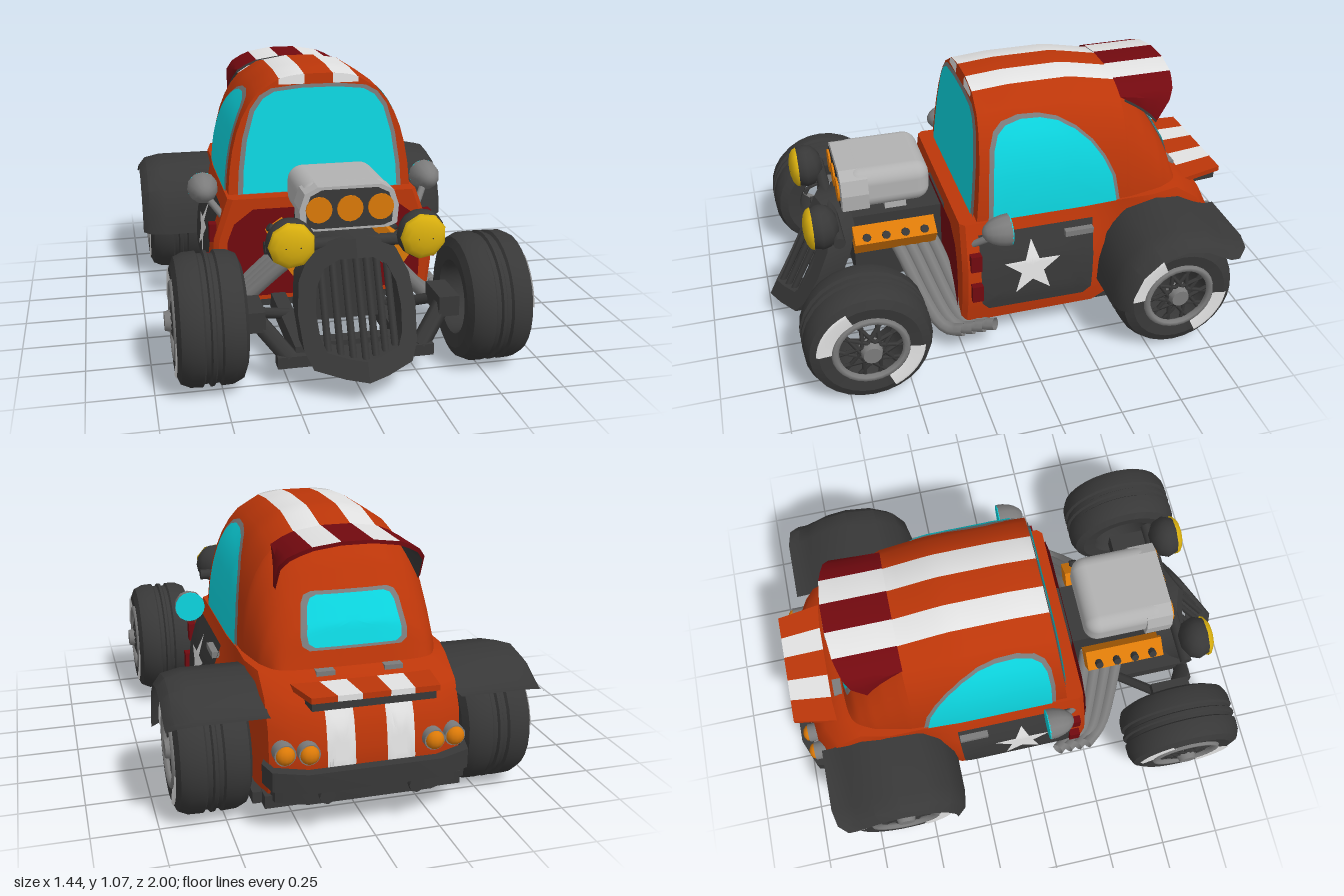
import * as THREE from 'three';
import { toCreasedNormals } from 'three/addons/utils/BufferGeometryUtils.js';
import { RoundedBoxGeometry } from 'three/addons/geometries/RoundedBoxGeometry.js';

const paint = (name, color) => new THREE.MeshStandardMaterial({ name, color, side: THREE.DoubleSide });
const orange = paint('orange', 0xbc3609), red = paint('dark red', 0x72090f), black = paint('black', 0x383838),
  white = paint('white', 0xe2e2e2), silver = paint('silver', 0xb2b2b2), grey = paint('grey', 0x7c7c7c),
  cyan = paint('cyan glass', 0x0cd6e0), amber = paint('amber', 0xdc7a08), yellow = paint('yellow', 0xdab00e);
const V = (x, y, z) => new THREE.Vector3(x, y, z);

// linear lookup in a table of [key, value], keys ascending
function look(table, k) {
  let i = 1;
  while (i < table.length - 1 && k > table[i][0]) i++;
  const [a, p] = table[i - 1], [b, q] = table[i];
  return p + (q - p) * Math.min(1, Math.max(0, (k - a) / (b - a)));
}

// skin over rows of points; pick(column) chooses a material index
function skin(rows, pick = () => 0) {
  const n = rows[0].length, idx = [], geo = new THREE.BufferGeometry();
  for (let j = 0; j < n - 1; j++) {
    geo.addGroup(idx.length, (rows.length - 1) * 6, pick(j));
    for (let i = 0; i < rows.length - 1; i++) {
      const a = i * n + j, b = a + n;
      idx.push(a, b, a + 1, a + 1, b, b + 1);
    }
  }
  geo.setAttribute('position', new THREE.Float32BufferAttribute(rows.flat(2), 3));
  geo.setIndex(idx);
  return toCreasedNormals(geo, 0.7);
}

// thin panel: a flat outline filled by rings and laid on a surface by project(u, v)
function patch(outline, project, size = 1) {
  const us = outline.map(p => p[0]), vs = outline.map(p => p[1]);
  const cu = (Math.min(...us) + Math.max(...us)) / 2, cv = (Math.min(...vs) + Math.max(...vs)) / 2;
  const fine = [];
  outline.forEach(([u, v], i) => {
    const [p, q] = outline[(i + 1) % outline.length];
    for (let k = 0; k < 4; k++) fine.push([u + (p - u) * k / 4, v + (q - v) * k / 4]);
  });
  fine.push(fine[0]);
  return skin([0, 0.2, 0.4, 0.6, 0.8, 1].map(f => fine.map(([u, v]) => project(cu + (u - cu) * f * size, cv + (v - cv) * f * size))));
}
const mirrored = half => [...half, ...half.slice().reverse().map(([x, ...r]) => [-x, ...r])];
const rect = (u0, u1, v0, v1) => [[u0, v0], [u1, v0], [u1, v1], [u0, v1]];
const range = (a, b, n) => Array.from({ length: n + 1 }, (_, i) => a + (b - a) * i / n);

// cabin form: roof height and half width along z
const FRONT = 0.165;
const TOP = [[-0.76, 0.55], [-0.71, 0.72], [-0.65, 0.82], [-0.58, 0.92], [-0.48, 1.03], [-0.28, 1.07], [0, 1.07], [FRONT, 1.057]];
const WIDE = [[-0.76, 0.30], [-0.65, 0.35], [-0.5, 0.38], [-0.3, 0.39], [FRONT, 0.39]];
const cabinX = (y, z) => look(WIDE, z) * Math.pow(Math.max(0, 1 - Math.pow((y - 0.5) / (look(TOP, z) - 0.5), 2.2)), 0.32);
const cabinY = (x, z) => 0.5 + (look(TOP, z) - 0.5) * Math.pow(Math.max(0, 1 - Math.pow(Math.abs(x) / look(WIDE, z), 3.125)), 1 / 2.2);
const screenZ = y => FRONT - 0.09 * (y - 0.57);
function rearZ(x, y) {
  let lo = -0.76, hi = -0.4;
  for (let i = 0; i < 24; i++) { const m = (lo + hi) / 2; if (cabinY(x, m) > y) hi = m; else lo = m; }
  return lo;
}
function cabinRow(z) {
  const half = [0, 0.15, 0.3, 0.45, 0.58, 0.69, 0.79, 0.87].map(t => 0.5 + (look(TOP, z) - 0.5) * t).map(y => [cabinX(y, z), y]);
  for (const x of [0.165, 0.06]) half.push([x, cabinY(x, z)]);
  const lean = Math.max(0, (z + 0.3) / (FRONT + 0.3));
  return mirrored(half).map(([x, y]) => [x, y, z + (screenZ(y) - FRONT) * lean]);
}
// lower body: half widths and rear edge by height
const SIDE = [[0.13, 0.46], [0.25, 0.475], [0.4, 0.46], [0.5, 0.425], [0.57, 0.40]];
const TAIL = [[0.13, -0.90], [0.25, -0.94], [0.4, -0.92], [0.5, -0.87], [0.57, -0.77]];
function tubRow(y) {
  const k = look(SIDE, y), b = look(TAIL, y), f = 0.25 - (y - 0.13) * 0.03, r = 0.39;
  const row = mirrored([[0, f], [k - 0.02, f], [k, f - 0.02], [k, -0.32], [r, -0.46], [r, b + 0.17], [r - 0.025, b + 0.055], [0.28, b + 0.01], [0.18, b], [0, b]]);
  return row.map(([x, z]) => [x, y, z]);
}
// roof spoiler: follows the roof arch, with sides drawn down towards a raked rear edge
function spoilerRow(f, drop) {
  const half = [[0.255 + 0.03 * f, 0.97 - 0.115 * f], [0.255 + 0.023 * f, 0.971 - 0.03 * f], [0.245 + 0.005 * f, 0.976], [0.21, 0.997], [0.165, 1.015], [0.06, 1.031]];
  return mirrored(half).map(([x, y]) => [x, y + 0.004 - drop, -0.475 + (0.475 - 0.738 + (1.03 - y) * 0.6) * f]);
}

export function createModel() {
  const car = new THREE.Group();
  car.name = 'hotRod';
  const add = (name, geo, mat, x = 0, y = 0, z = 0, parent = car) => {
    const m = new THREE.Mesh(geo, mat);
    m.name = name; m.position.set(x, y, z); parent.add(m);
    return m;
  };
  const box = (name, mat, w, h, d, x, y, z) => add(name, new THREE.BoxGeometry(w, h, d), mat, x, y, z);
  const beam = (name, mat, a, b, r, parent = car, sides = 8) => {
    const m = add(name, new THREE.CylinderGeometry(r, r, a.distanceTo(b), sides), mat, 0, 0, 0, parent);
    m.position.copy(a).add(b).multiplyScalar(0.5);
    m.quaternion.setFromUnitVectors(V(0, 1, 0), b.clone().sub(a).normalize());
  };
  const disc = (name, mat, r, d, x, y, z) => add(name, new THREE.CylinderGeometry(r, r, d, 16).rotateX(Math.PI / 2), mat, x, y, z);

  // body shells
  const stripes = (a, b) => j => (j === a || j === b ? 1 : 0);
  add('roof', skin(range(FRONT, -0.48, 12).map(cabinRow), stripes(8, 10)), [orange, white]);
  add('cabinRear', skin(range(-0.48, -0.76, 24).map(cabinRow)), [orange]);
  const front = cabinRow(FRONT).map(p => [p[0], p[1]]);
  add('windscreenPillars', patch(front, (x, y) => [x, y, screenZ(y)]), orange);
  const tub = [0.13, 0.19, 0.25, 0.32, 0.4, 0.45, 0.5, 0.57].map(tubRow);
  tub.push(tub[7].map(() => [0, 0.57, -0.25]));
  add('lowerBody', skin(tub), orange);
  add('floor', patch(tubRow(0.17).map(p => [p[0], p[2]]), (x, z) => [x, 0.17, z]), red);
  add('firewall', patch(mirrored([[0.41, 0.15], [0.415, 0.3], [0.407, 0.4], [0.38, 0.47], [0.3, 0.53]]), (x, y) => [x, y, 0.255]), red);

  // windscreen and rear window
  const arch = mirrored([[0.35, 0.56], [0.345, 0.66], [0.325, 0.8], [0.29, 0.92], [0.25, 0.975], [0.2, 1.003], [0.08, 1.015]]);
  add('windscreenFrame', patch(arch, (x, y) => [x, y, screenZ(y) + 0.006]), grey);
  add('windscreen', patch(arch, (x, y) => [x, y, screenZ(y) + 0.012], 0.94), cyan);
  const rear = mirrored([[0.155, 0.645], [0.178, 0.66], [0.182, 0.69], [0.168, 0.785], [0.155, 0.81], [0.13, 0.82]]);
  add('rearWindowFrame', patch(rear, (x, y) => [x, y, rearZ(x, y) - 0.006], 1.13), grey);
  add('rearWindow', patch(rear, (x, y) => [x, y, rearZ(x, y) - 0.01]), cyan);

  // side glass, doors, mirrors and cowl lamps
  const glass = [[0.1, 0.555], [0.092, 0.75], [0.08, 0.86], [0.06, 0.915], [0.025, 0.945], [-0.04, 0.96], [-0.12, 0.957], [-0.19, 0.94], [-0.26, 0.9],
    [-0.32, 0.845], [-0.37, 0.775], [-0.41, 0.69], [-0.435, 0.555]];
  const door = [[0.17, 0.53], [0.17, 0.23], [0.14, 0.195], [-0.27, 0.19], [-0.305, 0.22], [-0.315, 0.53]];
  const star = range(0, 9, 9).map(i => {
    const a = i * Math.PI / 5, r = i % 2 ? 0.05 : 0.125;
    return [-0.045 + r * Math.sin(a), 0.365 + r * Math.cos(a)];
  });
  for (const s of [1, -1]) {
    const onCabin = o => (z, y) => [s * (cabinX(y, z) + o), y, z];
    const onDoor = o => (z, y) => [s * (look(SIDE, y) + o), y, z];
    add('sideWindowFrame', patch(glass, onCabin(0.004), 1.07), grey);
    add('sideWindow', patch(glass, onCabin(0.009)), cyan);
    add('door', patch(door, onDoor(0.01)), black);
    add('doorStar', patch(star, onDoor(0.017)), white);
    box('doorHandle', grey, 0.03, 0.025, 0.12, s * 0.445, 0.49, -0.25);
    for (const y of [0.29, 0.425]) box('cowlLamp', red, 0.03, 0.075, 0.045, s * (look(SIDE, y) + 0.01), y, 0.19);
    const dome = new THREE.SphereGeometry(0.065, 12, 6, 0, 7, 0, Math.PI / 2).rotateX(Math.PI / 2).scale(1, 1, 1.7);
    add('mirrorShell', dome, grey, s * 0.485, 0.58, 0.06);
    disc('mirrorGlass', cyan, 0.063, 0.006, s * 0.485, 0.58, 0.06);
    beam('mirrorArm', grey, V(s * 0.48, 0.56, 0.1), V(s * 0.41, 0.48, 0.2), 0.015);
    const edge = (x, v) => 1.016 + (cabinY(x, FRONT) - 1.016) * v;
    add('frontStripe', patch(rect(s * 0.06, s * 0.168, 0, 1), (x, v) => [x, edge(x, v), screenZ(edge(x, v)) + 0.005]), white);

    // rear fender
    const path = [[-0.335, 0.24], [-0.345, 0.33], [-0.39, 0.44], [-0.48, 0.52], [-0.61, 0.55], [-0.72, 0.53], [-0.8, 0.485], [-0.85, 0.46], [-0.895, 0.46]];
    const cut = [[0.36, 1], [0.62, 1], [0.69, 0.95], [0.722, 0.82]];
    add('rearFender', skin(path.map(([z, y]) => cut.map(([x, f]) => [s * x, 0.255 + (y - 0.255) * f, -0.61 + (z + 0.61) * f]))), black);

    // tail lamps, rear stripes and exhaust tips
    for (const [x, z] of [[0.235, -0.93], [0.32, -0.915]]) {
      disc('tailLampRim', grey, 0.04, 0.05, s * x, 0.33, z);
      add('tailLamp', new THREE.SphereGeometry(0.036, 12, 8).scale(1, 1, 0.8), amber, s * x, 0.33, z - 0.022);
    }
    add('rearStripe', patch(rect(s * 0.06, s * 0.165, 0.2, 0.5), (x, y) => [x, y, look(TAIL, y) - 0.007]), white);
    beam('tailPipe', black, V(s * 0.17, 0.16, -0.55), V(s * 0.17, 0.16, -0.96), 0.03);
    box('trunkHinge', grey, 0.07, 0.025, 0.035, s * 0.13, 0.56, -0.775);
  }

  // roof spoiler and trunk lid, striped over a dark underside
  add('roofSpoiler', skin(range(0, 1, 4).map(f => spoilerRow(f, 0)), stripes(4, 6)), [red, white]);
  add('spoilerUnderside', skin(range(0.1, 1, 4).map(f => spoilerRow(f, 0.014).map(([x, y, z]) => [x * 0.97, y, z]))), black);
  add('spoilerEdge', skin([spoilerRow(1, 0), spoilerRow(1, 0.014).map(([x, y, z]) => [x * 0.97, y, z])]), red);
  const cuts = [-1, -0.6, -0.22, 0.22, 0.6, 1];
  for (let i = 0; i < 5; i++) {
    const c = (cuts[i] + cuts[i + 1]) / 2 * 0.275, w = (cuts[i + 1] - cuts[i]) * 0.275;
    const lid = new THREE.BoxGeometry(w, 0.022, 0.22).translate(c, 0, 0), p = lid.attributes.position;
    for (let k = 0; k < p.count; k++) if (p.getZ(k) < 0) p.setXYZ(k, p.getX(k) * 0.86, p.getY(k) + 0.015, p.getZ(k));
    add('trunkLid', lid, i % 2 ? white : orange, 0, 0.528, -0.868);
  }
  box('trunkUnderside', black, 0.46, 0.035, 0.18, 0, 0.508, -0.87).rotation.x = 0.07;

  // rear bumper over a lower valance
  const bump = mirrored([[0.39, -0.87], [0.37, -0.95], [0.25, -0.998]]);
  const bar = (y0, y1, d0, d1) => skin([[y0, d0], [y1, d0], [y1, d1], [y0, d1], [y0, d0]].map(([y, d]) => bump.map(([x, z]) => [x * (1 - d), y, z + d])));
  add('rearBumper', bar(0.2, 0.275, 0, 0.04), black);
  add('rearValance', bar(0.125, 0.19, 0.06, 0.1), black);

  // wheels
  for (const s of [1, -1]) for (const [x, z, hw] of [[0.54, 0.66, 0.13], [0.55, -0.61, 0.14]]) {
    const wheel = new THREE.Group(), spin = new THREE.Group(), crown = z > 0 ? 0.012 : -0.005;
    wheel.name = z > 0 ? 'frontWheel' : 'rearWheel';
    wheel.position.set(s * x, 0.253, z);
    wheel.rotation.y = s > 0 ? 0 : Math.PI;
    spin.rotation.z = -Math.PI / 2;
    wheel.add(spin); car.add(wheel);
    const half = [[0.135, hw - 0.03], [0.145, hw - 0.008], [0.2, hw], [0.235, hw - 0.015], [0.251, hw - 0.05], [0.253, 0.035], [0.242, 0.028], [0.242, 0.012], [0.253, 0.006]];
    const prof = [...half, ...half.slice().reverse().map(([r, h]) => [r, -h]), half[0]].map(p => new THREE.Vector2(...p));
    add('tyre', toCreasedNormals(new THREE.LatheGeometry(prof, 28), 0.5), black, 0, 0, 0, spin);
    for (const a of [-1.15, -1.15 + Math.PI]) {
      const arc = [[0.152, hw - 0.002], [0.2, hw + 0.005], [0.212, hw]].map(p => new THREE.Vector2(...p));
      add('whitewall', new THREE.LatheGeometry(arc, 8, a, 1.08), white, 0, 0, 0, spin);
    }
    add('rim', new THREE.TorusGeometry(0.139, 0.015, 6, 28).rotateX(Math.PI / 2), grey, 0, hw - 0.008, 0, spin);
    add('hub', new THREE.CylinderGeometry(0.036, 0.05, 0.05, 14), grey, 0, hw + crown - 0.008, 0, spin);
    const at = (r, a, h) => V(r * Math.cos(a), h, r * Math.sin(a));
    for (let i = 0; i < 10; i++) for (const d of [0.4, -0.4]) {
      const a = i * Math.PI / 5;
      beam('spoke', black, at(0.04, a - d, hw + crown - 0.012), at(0.133, a + d, hw - 0.022), 0.009, spin, 5);
    }
  }

  // grille: pointed in plan and leaning back
  const grilleZ = (x, y) => 0.995 - 0.5 * (y - 0.1) - 0.42 * Math.abs(x);
  const egg = mirrored([[0, 0.56], [0.09, 0.547], [0.165, 0.5], [0.21, 0.41], [0.224, 0.3], [0.213, 0.18], [0.185, 0.12], [0.08, 0.1], [0, 0.095]]);
  const loop = (f, back) => egg.map(([x, y]) => [x * f, 0.335 + (y - 0.335) * f]).map(([x, y]) => [x, y, grilleZ(x, y) - back]);
  add('grilleFrame', skin([loop(1, 0), loop(1, 0.1), loop(0.72, 0.1), loop(0.72, 0), loop(1, 0)]), black);
  for (let i = -3; i <= 3; i++) {
    const x = i * 0.042, h = 0.17 * Math.sqrt(1 - (x / 0.2) ** 2);
    beam('grilleSlat', black, V(x, 0.15, grilleZ(x, 0.15) - 0.03), V(x, 0.33 + h, grilleZ(x, 0.33 + h) - 0.03), 0.014, car, 6);
  }
  box('frontLip', black, 0.6, 0.045, 0.06, 0, 0.11, 0.78);

  // engine and intake scoop
  box('engineBlock', black, 0.26, 0.32, 0.4, 0, 0.35, 0.43);
  box('intakeNeck', silver, 0.2, 0.1, 0.09, 0, 0.54, 0.44);
  add('scoop', new RoundedBoxGeometry(0.35, 0.175, 0.35, 4, 0.06), silver, 0, 0.648, 0.475);
  const mouth = mirrored([[0.15, 0.565], [0.185, 0.58], [0.19, 0.65], [0.17, 0.71], [0.12, 0.735]]);
  add('scoopRim', new THREE.ExtrudeGeometry(new THREE.Shape(mouth.map(p => new THREE.Vector2(...p))), { depth: 0.11, bevelEnabled: false }), silver, 0, 0, 0.56);
  add('scoopMouth', patch(mouth, (x, y) => [x, y, 0.674], 0.88), black);
  for (const x of [-0.118, 0, 0.118]) disc('intakeFlap', amber, 0.05, 0.008, x, 0.65, 0.678);

  for (const s of [1, -1]) {
    box('valveCover', amber, 0.085, 0.09, 0.34, s * 0.2, 0.445, 0.47).rotation.z = -s * 0.6;
    for (let i = 0; i < 4; i++) {
      const z = 0.35 + i * 0.08, e = 0.12 + i * 0.045;
      beam('valveBolt', black, V(s * 0.21, 0.455, z), V(s * 0.255, 0.485, z), 0.017);
      const pipe = new THREE.CatmullRomCurve3([V(s * 0.15, 0.4, 0.32 + i * 0.05), V(s * 0.2, 0.365, 0.3 + i * 0.05), V(s * 0.42, 0.135, e + 0.09), V(s * 0.46, 0.11, e + 0.05), V(s * 0.5, 0.125, e)]);
      add('exhaustHeader', new THREE.TubeGeometry(pipe, 16, 0.028, 8), grey);
    }
    // headlamps
    add('headlampShell', new THREE.SphereGeometry(0.092, 10, 8).scale(1, 1, 0.8), black, s * 0.245, 0.567, 0.77);
    add('headlampLens', new THREE.SphereGeometry(0.088, 10, 4, 0, 7, 0, Math.PI / 2).rotateX(Math.PI / 2).scale(1, 1, 0.42), yellow, s * 0.245, 0.567, 0.805);
    // front suspension
    box('steeringKnuckle', black, 0.08, 0.08, 0.17, s * 0.375, 0.255, 0.67);
    beam('lowerArm', black, V(s * 0.37, 0.255, 0.7), V(s * 0.25, 0.115, 0.78), 0.036, car, 6);
    beam('radiusRod', black, V(s * 0.37, 0.24, 0.62), V(s * 0.18, 0.13, 0.42), 0.022);
    // chassis
    box('frameRail', black, 0.06, 0.07, 1.62, s * 0.2, 0.122, -0.03);
    box('innerRail', black, 0.045, 0.05, 0.9, s * 0.07, 0.13, -0.2);
    box('sill', black, 0.05, 0.045, 1.05, s * 0.39, 0.118, -0.3);
  }
  for (const z of [0.7, 0.2, -0.5, -0.84]) box('crossMember', black, z < 0.5 ? 0.76 : 0.4, 0.05, 0.06, 0, 0.118, z);
  beam('headlampBar', black, V(-0.33, 0.53, 0.71), V(0.33, 0.53, 0.71), 0.025);
  beam('rearAxle', black, V(-0.5, 0.253, -0.61), V(0.5, 0.253, -0.61), 0.035);
  beam('muffler', black, V(-0.2, 0.145, -0.72), V(0.2, 0.145, -0.72), 0.055, car, 12);
  beam('gearbox', black, V(0, 0.25, 0.3), V(0, 0.18, -0.2), 0.08, car, 10);
  return car;
}
